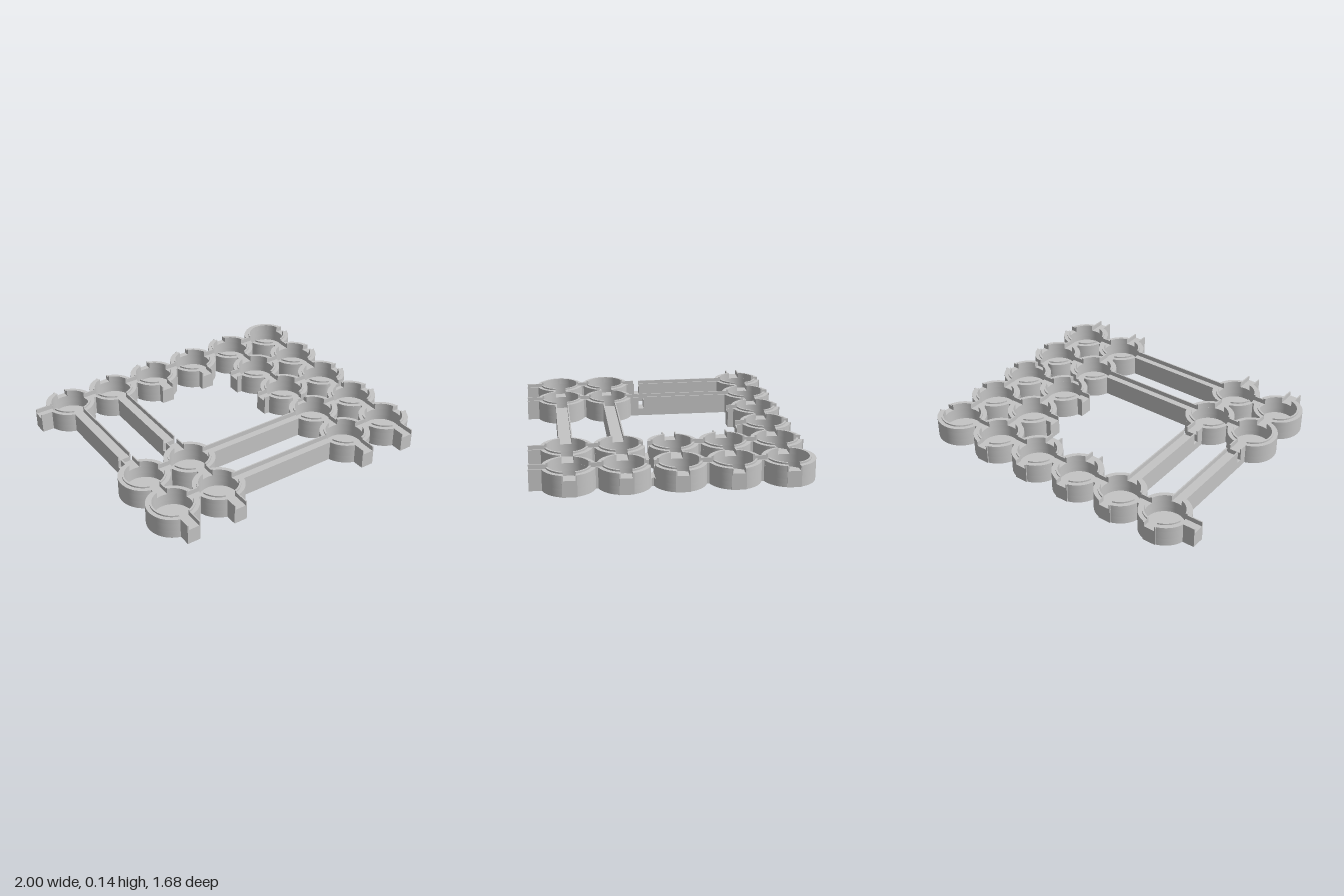
import * as THREE from 'three';
import { toCreasedNormals } from 'three/addons/utils/BufferGeometryUtils.js';

const PITCH = 0.322, X0 = -0.77, Z0 = -0.68;
const R = 0.16, R_LIP = 0.134, R_IN = 0.122;
const FLOOR = 0.02, GROOVE = 0.1, RIM = 0.13, LIP = 0.14, SLOT = 0.05;
const HALF = 0.043, GAP = 0.035;              // channel half widths, outside and inside
const LINK = PITCH / 2, BAR = PITCH * 1.5, STUB = 0.23, SHORT = 0.19;

// directions: 0 east, 1 north (back), 2 west, 3 south (front)
const STEP = [[1, 0], [0, -1], [-1, 0], [0, 1]];
const rows = [[0, 1, 2, 3, 4, 5], [4, 5], [4, 5], [0, 1, 4, 5], [0, 1, 4, 5]];
const has = (i, j) => !!rows[j] && rows[j].includes(i);

// length of the channel leaving a cup in one direction, 0 if closed
function armLength(i, j, d) {
  const [dx, dz] = STEP[d];
  if (has(i + dx, j + dz)) return LINK;
  if (has(i + 3 * dx, j + 3 * dz)) return BAR;
  if (d === 0) return i === 5 ? R : 0;
  if (d === 1) return j === 0 && i < 5 ? R : 0;
  if (d === 2) return i === 0 ? (j === 0 ? STUB : 0) : SHORT;
  return j === 4 ? STUB : SHORT;
}

// cross slot cut through a channel: start and end distance from the cup
function armSlot(i, j, d) {
  if (i < 2 && j === 3 && d === 1) return [0.208, 0.244];
  if (i > 3 && ((j === 2 && d === 3) || (j === 3 && d === 1))) return [0.147, LINK];
  return null;
}

// arc of points; flat trims the outer wall along north or south
function arc(r, a0, a1, flat) {
  const n = Math.max(4, Math.ceil(Math.abs(a1 - a0) / (Math.PI / 32)));
  return Array.from({ length: n + 1 }, (_, k) => {
    const a = a0 + (a1 - a0) * k / n;
    let y = r * Math.sin(a);
    if (flat === 1) y = Math.min(y, 0.147);
    if (flat === 3) y = Math.max(y, -0.147);
    return new THREE.Vector2(r * Math.cos(a), y);
  });
}

function extrude(shape, y0, y1) {
  const g = new THREE.ExtrudeGeometry(shape, { depth: y1 - y0, bevelEnabled: false });
  g.rotateX(-Math.PI / 2).translate(0, y0, 0);
  return toCreasedNormals(g, 0.5);
}

function fullRing(rIn, y0, y1, flat) {
  const s = new THREE.Shape(arc(R, 0, Math.PI * 2, flat).slice(0, -1));
  if (rIn) s.holes.push(new THREE.Path(arc(rIn, 0, Math.PI * 2).slice(0, -1).reverse()));
  return extrude(s, y0, y1);
}

// ring sectors between the openings, with parallel-sided gaps
function brokenRing(rIn, rOut, y0, y1, open, flat) {
  const shapes = open.map((d, k) => {
    const a0 = d * Math.PI / 2;
    const next = k + 1 < open.length ? open[k + 1] : open[0] + 4;
    const a1 = next * Math.PI / 2;
    const go = Math.asin(GAP / rOut), gi = Math.asin(GAP / rIn);
    return new THREE.Shape([
      ...arc(rOut, a0 + go, a1 - go, flat),
      ...arc(rIn, a1 - gi, a0 + gi),
    ]);
  });
  return extrude(shapes, y0, y1);
}

export function createModel() {
  const model = new THREE.Group();
  model.name = 'cupTray';
  const grey = new THREE.MeshStandardMaterial({ color: 0xc5c5c5 });
  grey.name = 'lightGrey';

  const add = (parent, name, geometry) => {
    const m = new THREE.Mesh(geometry, grey);
    m.name = name;
    parent.add(m);
  };
  // box along +x from a to b, between heights and side offsets
  const box = (parent, name, a, b, y0, y1, z0, z1) => add(parent, name,
    new THREE.BoxGeometry(b - a, y1 - y0, z1 - z0)
      .translate((a + b) / 2, (y0 + y1) / 2, (z0 + z1) / 2));

  // grooved channel with raised side walls
  function channel(parent, d, length, slot) {
    const arm = new THREE.Group();
    arm.name = 'channel';
    arm.rotation.y = d * Math.PI / 2;
    const spans = slot ? [[0.135, slot[0]], [slot[1], length]] : [[0.135, length]];
    for (const [a, b] of spans) {
      if (b - a < 0.001) continue;
      box(arm, 'channelBase', a, b, 0, GROOVE, -HALF, HALF);
      const w = Math.max(a, 0.145);
      for (const [z0, z1] of [[-HALF, -GAP], [GAP, HALF]])
        box(arm, 'channelWall', w, b, GROOVE, RIM, z0, z1);
    }
    if (slot) box(arm, 'slotBase', slot[0], slot[1], 0, SLOT, -HALF, HALF);
    parent.add(arm);
  }

  rows.forEach((row, j) => row.forEach((i) => {
    const cup = new THREE.Group();
    cup.name = 'cup';
    cup.position.set(X0 + i * PITCH, 0, Z0 + j * PITCH);
    const open = [0, 1, 2, 3].filter((d) => armLength(i, j, d) > 0);
    const flat = i > 3 ? { 2: 3, 3: 1 }[j] : undefined;

    add(cup, 'cupFloor', fullRing(0, 0, FLOOR));
    add(cup, 'lowerWall', fullRing(R_IN, FLOOR, SLOT));
    add(cup, 'upperWall', fullRing(R_IN, SLOT, GROOVE, flat));
    add(cup, 'rim', brokenRing(R_IN, R, GROOVE, RIM, open, flat));
    add(cup, 'lip', brokenRing(R_IN, R_LIP, RIM, LIP, open));
    for (const d of open) channel(cup, d, armLength(i, j, d), armSlot(i, j, d));
    model.add(cup);
  }));
  return model;
}
